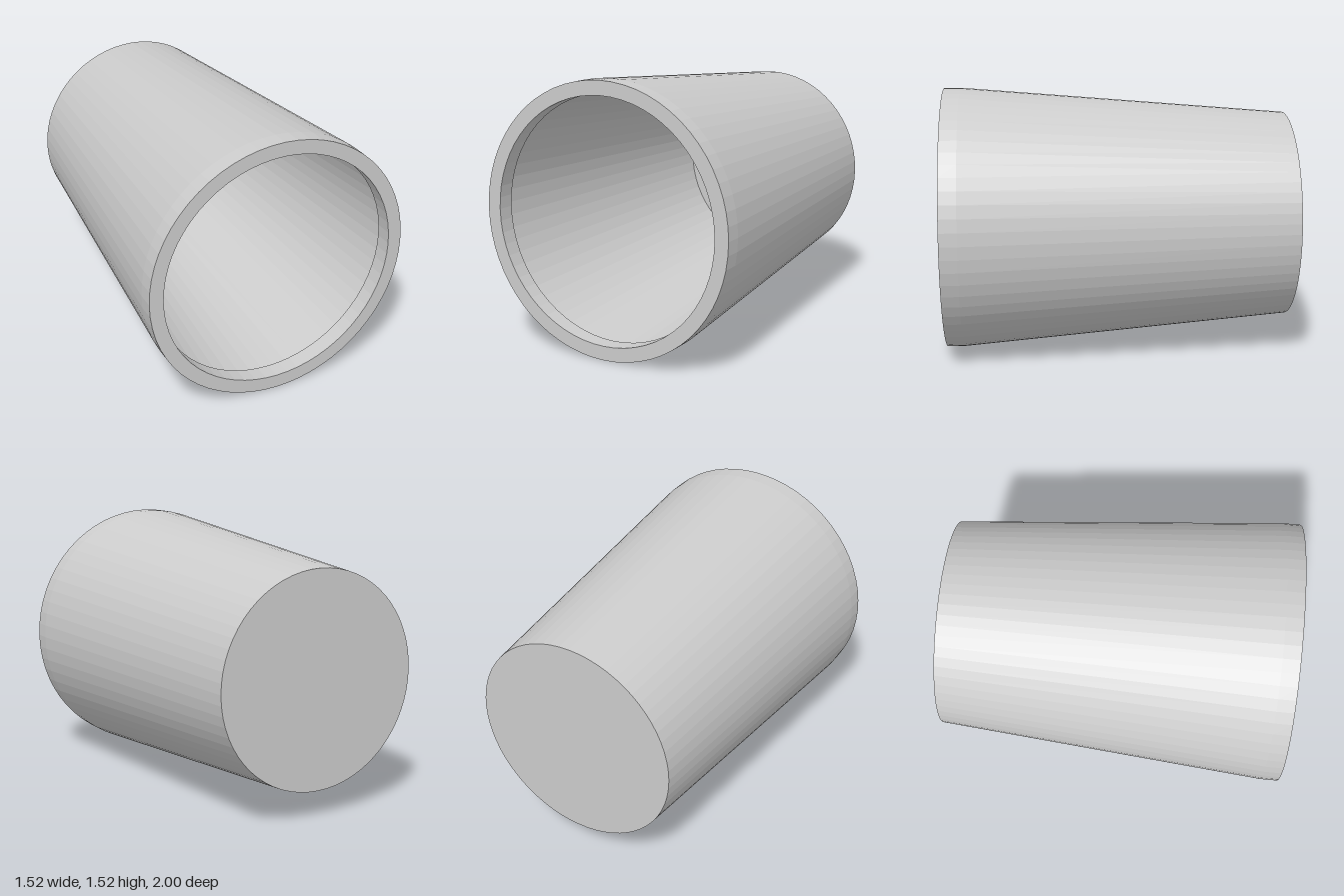
import * as THREE from 'three';

const SEGMENTS = 64;
const RADIUS = 0.762;

// Lathe a list of [radius, z] points around the z axis
function turned(name, points, material) {
  const geometry = new THREE.LatheGeometry(points.map(([r, z]) => new THREE.Vector2(r, z)), SEGMENTS);
  geometry.rotateX(Math.PI / 2);
  const mesh = new THREE.Mesh(geometry, material);
  mesh.name = name;
  mesh.position.y = RADIUS;
  return mesh;
}

export function createModel() {
  const group = new THREE.Group();
  group.name = 'taperedCup';
  const material = new THREE.MeshStandardMaterial({ color: 0xcccccc, flatShading: true });

  // Closed back end and thin tapering outer wall
  group.add(turned('outerShell', [[0, -1], [0.605, -1], [RADIUS, 0.9]], material));

  // Thick collar around the mouth, stepping inwards from the wall
  group.add(turned('mouthCollar', [[RADIUS, 0.9], [RADIUS, 1], [0.682, 1], [0.682, 0.9], [0.754, 0.9]], material));

  // Inside wall and floor
  group.add(turned('innerShell', [[0.754, 0.9], [0.598, -0.99], [0, -0.99]], material));

  return group;
}
